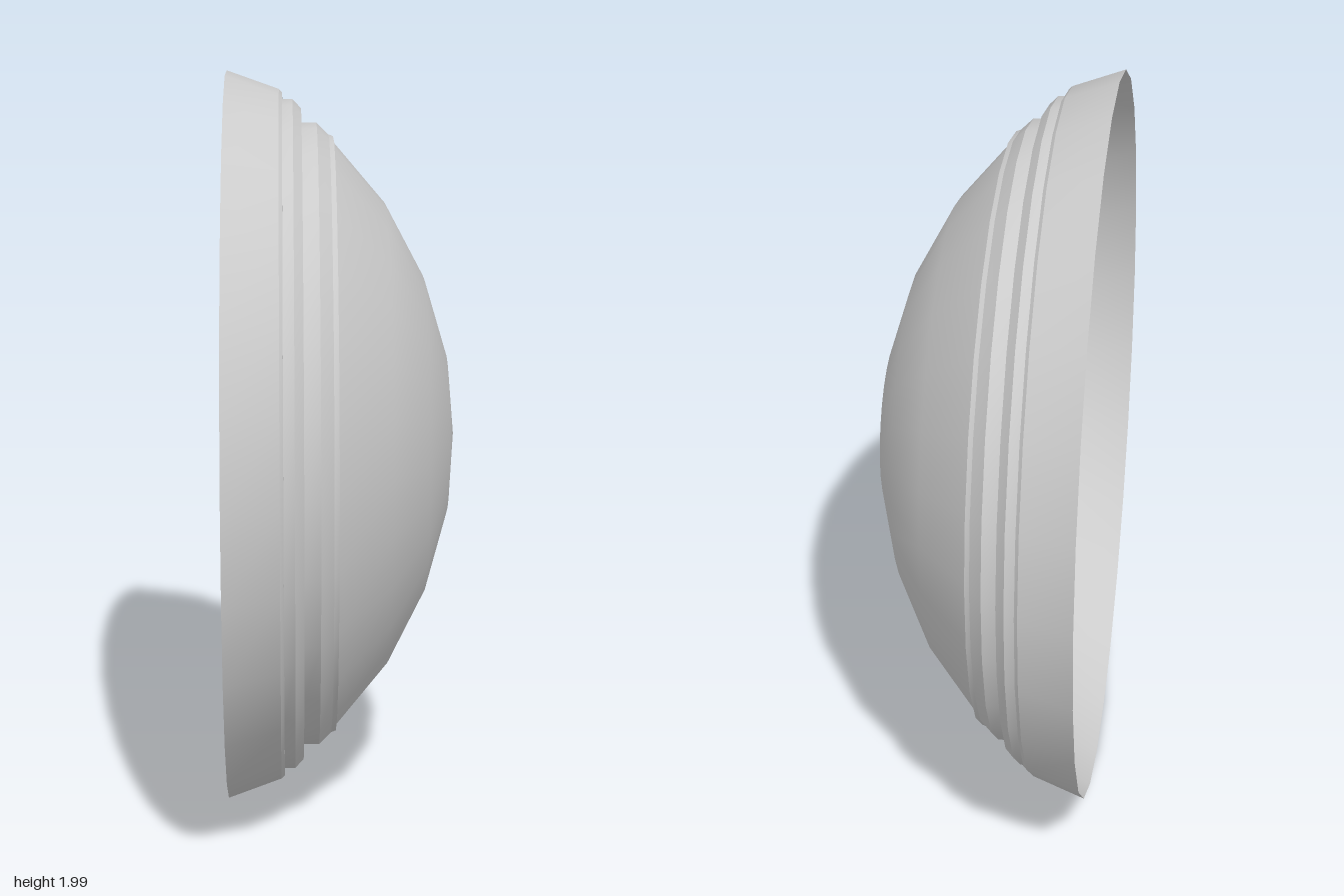
import * as THREE from 'three';
import { toCreasedNormals } from 'three/addons/utils/BufferGeometryUtils.js';

const SIDES = 26;
const AXIS_HEIGHT = Math.cos(Math.PI / SIDES);

// Turned part about the x axis; profile points are [x, radius], back to front
function turned(name, profile, material) {
  const points = profile.map(([x, r]) => new THREE.Vector2(r, x));
  const geometry = toCreasedNormals(new THREE.LatheGeometry(points, SIDES), 0.35);
  geometry.rotateZ(-Math.PI / 2);
  const mesh = new THREE.Mesh(geometry, material);
  mesh.name = name;
  mesh.position.y = AXIS_HEIGHT;
  return mesh;
}

export function createModel() {
  const group = new THREE.Group();
  group.name = 'wallLamp';
  const material = new THREE.MeshStandardMaterial({ color: 0xcccccc, side: THREE.DoubleSide });

  // Thin stepped rim, open at the back
  group.add(turned('steppedRim', [
    [-0.313, 1.0], [-0.17, 0.949], [-0.161, 0.94], [-0.161, 0.921],
    [-0.133, 0.921], [-0.11, 0.897], [-0.11, 0.857], [-0.068, 0.857],
    [-0.035, 0.825], [-0.022, 0.82],
  ], material));

  // Solid glass body: flat back, short collar inside the rim, smooth shallow dome
  group.add(turned('domeShade', [
    [-0.16, 0], [-0.16, 0.818], [-0.022, 0.818], [-0.022, 0.805],
    [0.12, 0.637], [0.225, 0.437], [0.288, 0.222], [0.309, 0],
  ], material));

  return group;
}
